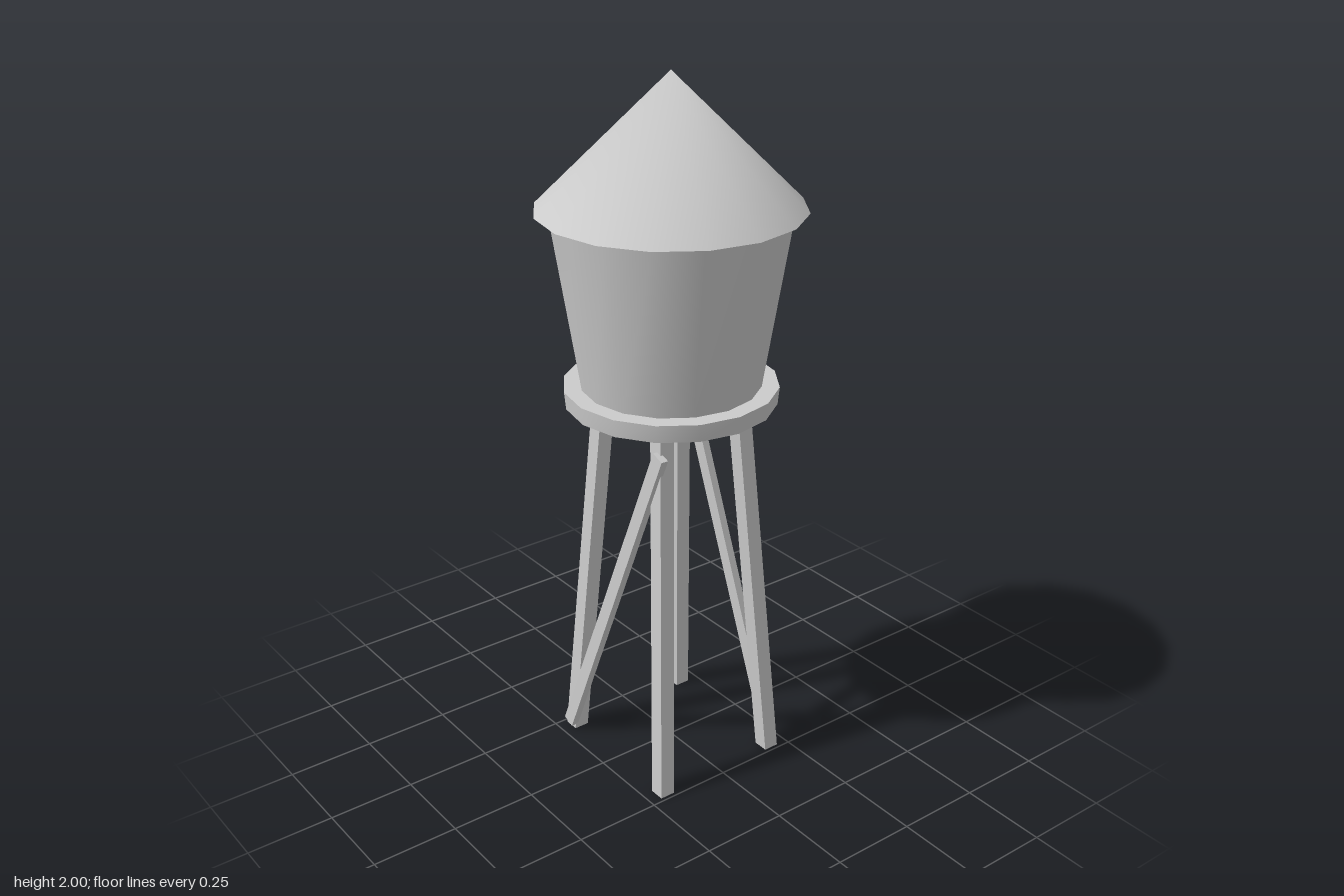
import * as THREE from 'three';
import { mergeVertices, toCreasedNormals } from 'three/addons/utils/BufferGeometryUtils.js';

const SIDES = 16;
const material = new THREE.MeshStandardMaterial({ color: 0xcccccc });

function addMesh(parent, name, geometry) {
  const mesh = new THREE.Mesh(geometry, material);
  mesh.name = name;
  parent.add(mesh);
  return mesh;
}

// Round part between two heights, smooth around the side with sharp rims
function drum(topRadius, bottomRadius, y0, y1) {
  const geometry = new THREE.CylinderGeometry(topRadius, bottomRadius, y1 - y0, SIDES);
  geometry.translate(0, (y0 + y1) / 2, 0);
  return toCreasedNormals(geometry, Math.PI / 6);
}

// Leaning square post with level ends: a box sheared from foot to head
function leaningPost(foot, head, width) {
  const geometry = new THREE.BoxGeometry(width, 1, width);
  const p = geometry.attributes.position;
  const center = new THREE.Vector3();
  for (let i = 0; i < p.count; i++) {
    center.lerpVectors(foot, head, p.getY(i) + 0.5);
    p.setXYZ(i, center.x + p.getX(i), center.y, center.z + p.getZ(i));
  }
  geometry.computeVertexNormals();
  return geometry;
}

// Flat bar between two points, its thin side facing sideways
function addBrace(parent, name, a, b, thickness, width) {
  const along = b.clone().sub(a);
  const brace = addMesh(parent, name, new THREE.BoxGeometry(thickness, along.length(), width));
  along.normalize();
  const deep = new THREE.Vector3(1, 0, 0).cross(along).normalize();
  const side = along.clone().cross(deep);
  brace.quaternion.setFromRotationMatrix(new THREE.Matrix4().makeBasis(side, along, deep));
  brace.position.addVectors(a, b).multiplyScalar(0.5);
}

export function createModel() {
  const model = new THREE.Group();
  model.name = 'waterTower';

  // Conical roof, shaded smoothly over the tip
  let cone = new THREE.ConeGeometry(0.363, 0.36, SIDES, 1, true);
  cone.deleteAttribute('normal');
  cone.deleteAttribute('uv');
  cone = mergeVertices(cone, 1e-4);
  cone.computeVertexNormals();
  cone.translate(0, 1.82, 0);
  addMesh(model, 'roof', cone);

  // Underside of the overhanging roof, turned to match the roof corners
  const eaves = new THREE.CircleGeometry(0.363, SIDES);
  eaves.rotateX(Math.PI / 2);
  eaves.translate(0, 1.64, 0);
  addMesh(model, 'roofUnderside', eaves);

  // Tapered tank on a round platform
  addMesh(model, 'tank', drum(0.325, 0.248, 1.15, 1.64));
  addMesh(model, 'platform', drum(0.297, 0.292, 1.1, 1.15));

  // Four splayed legs
  const legs = new THREE.Group();
  legs.name = 'legs';
  model.add(legs);
  for (const x of [1, -1]) {
    for (const z of [1, -1]) {
      const foot = new THREE.Vector3(x * 0.193, 0, z * 0.216);
      const head = new THREE.Vector3(x * 0.13, 1.11, z * 0.132);
      addMesh(legs, (z > 0 ? 'front' : 'back') + (x > 0 ? 'Left' : 'Right') + 'Leg',
        leaningPost(foot, head, 0.045));
    }
  }

  // One diagonal brace on each side, leaning opposite ways
  addBrace(model, 'leftBrace', new THREE.Vector3(0.203, 0.03, 0.21),
    new THREE.Vector3(0.157, 1.09, -0.135), 0.022, 0.04);
  addBrace(model, 'rightBrace', new THREE.Vector3(-0.217, 0.02, -0.213),
    new THREE.Vector3(-0.16, 1.03, 0.165), 0.022, 0.04);

  return model;
}
